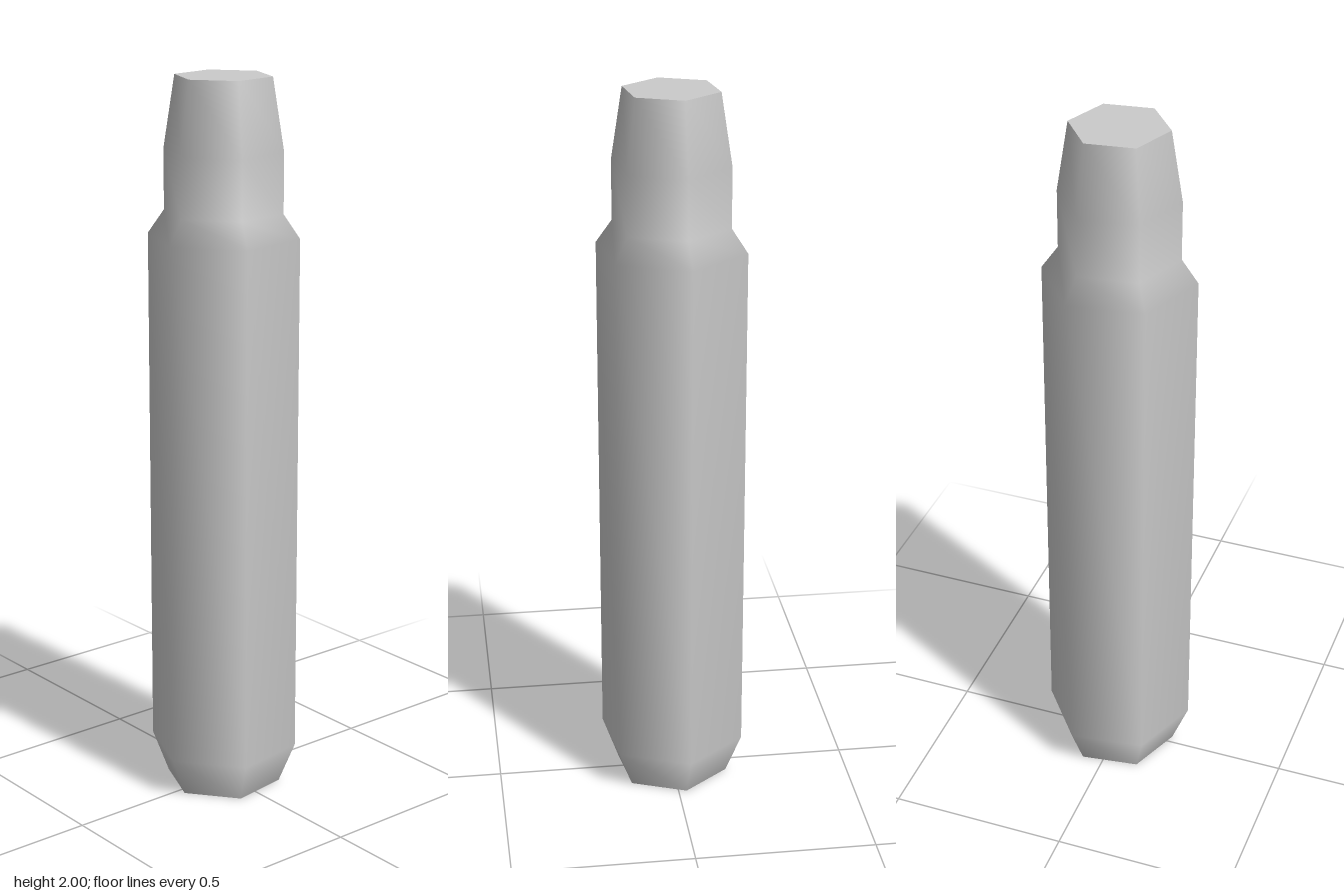
import * as THREE from 'three';

const SIDES = 6;
const TURN = THREE.MathUtils.degToRad(8.1); // twist of the hexagon about y

export function createModel() {
  const group = new THREE.Group();
  group.name = 'hexagonalBody';
  const material = new THREE.MeshStandardMaterial({ color: 0xcccccc });

  // Outline from base to tip: [radius, height]
  const profile = [
    [0.162, 0], [0.208, 0.115], [0.208, 1.575],
    [0.163, 1.64], [0.163, 1.805], [0.132, 2],
  ].map(([r, y]) => new THREE.Vector2(r, y));

  const shell = new THREE.Mesh(
    new THREE.LatheGeometry(profile, SIDES, Math.PI / 2 + TURN), material);
  shell.name = 'shell';
  group.add(shell);

  // Flat end caps with sharp rims
  const addCap = (name, point, up) => {
    const geometry = new THREE.CircleGeometry(point.x, SIDES, up * TURN);
    geometry.rotateX(-up * Math.PI / 2).translate(0, point.y, 0);
    const cap = new THREE.Mesh(geometry, material);
    cap.name = name;
    group.add(cap);
  };
  addCap('baseCap', profile[0], -1);
  addCap('tipCap', profile[profile.length - 1], 1);

  return group;
}
